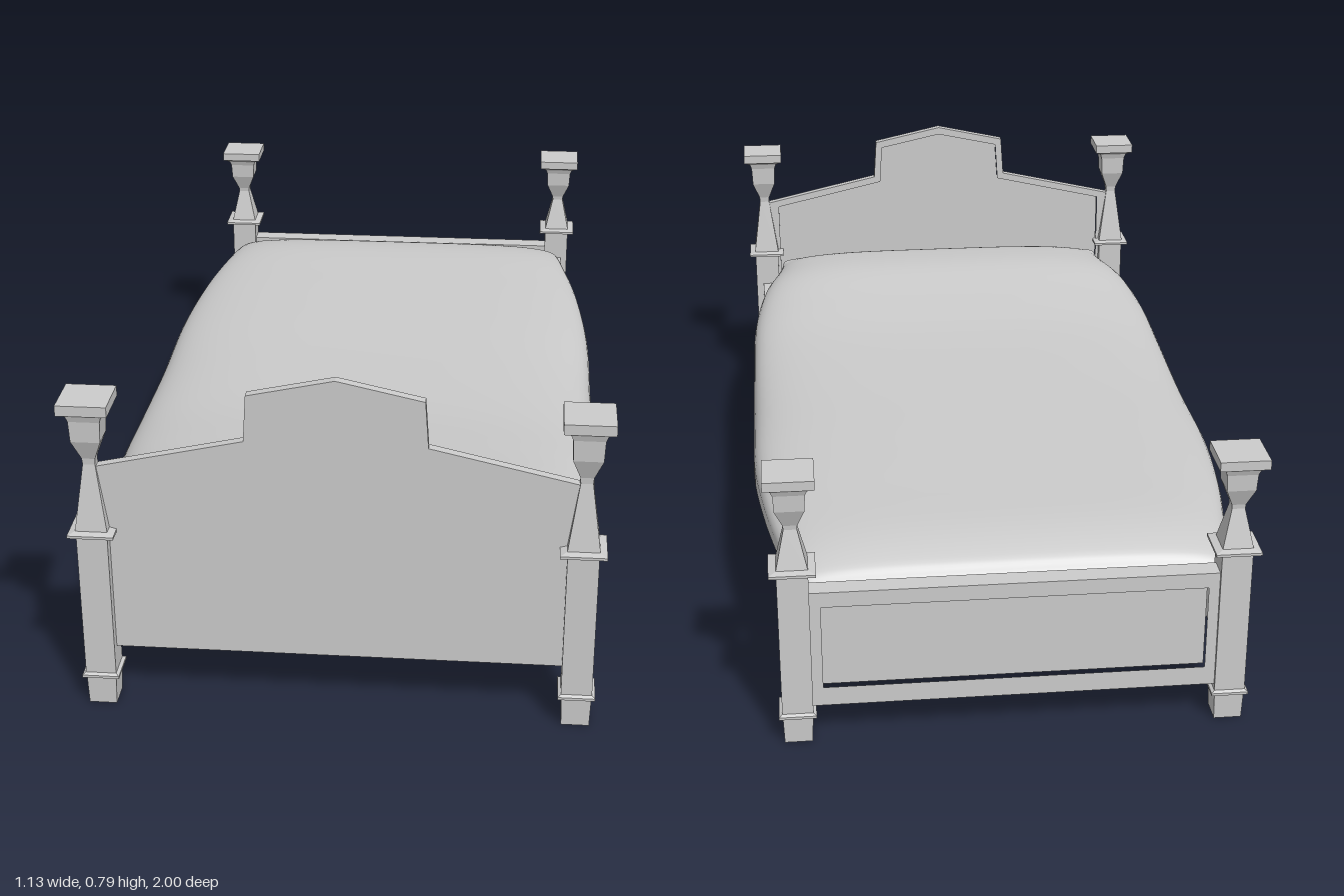
import * as THREE from 'three';

const grey = new THREE.MeshStandardMaterial({ color: 0xcccccc });
const faceted = new THREE.MeshStandardMaterial({ color: 0xcccccc, flatShading: true });
const cloth = new THREE.MeshStandardMaterial({ color: 0xcccccc, side: THREE.DoubleSide });

function add(parent, name, geometry, material = grey) {
  const mesh = new THREE.Mesh(geometry, material);
  mesh.name = name;
  parent.add(mesh);
  return mesh;
}

// Square turned post from [half width, height] pairs
function post(profile) {
  const points = profile.map(([h, y]) => new THREE.Vector2(h * Math.SQRT2, y));
  const g = new THREE.LatheGeometry(points, 4).rotateY(Math.PI / 4).toNonIndexed();
  g.computeVertexNormals();
  return g;
}

// Mirrored outline from its right half, listed top to bottom
function outline(half, Type = THREE.Shape) {
  const right = half.map(([x, y]) => new THREE.Vector2(x, y));
  const left = right.filter(p => p.x > 0).map(p => new THREE.Vector2(-p.x, p.y)).reverse();
  return new Type([...right, ...left]);
}

function slab(shape, z0, z1) {
  return new THREE.ExtrudeGeometry(shape, { depth: z1 - z0, bevelEnabled: false }).translate(0, 0, z0);
}

// Board with a raised border round a thinner panel
function framedBoard(name, outer, inner, frameZ, panelZ) {
  const group = new THREE.Group();
  group.name = name;
  const frame = outline(outer);
  frame.holes.push(outline(inner, THREE.Path));
  add(group, name + 'Frame', slab(frame, ...frameZ));
  add(group, name + 'Panel', slab(outline(inner), ...panelZ));
  return group;
}

// Draped cover lofted through arched cross-sections along z
function coverGeometry() {
  // z, half width, crown height, hem height
  const rows = [
    [-0.915, 0.455, 0.345, 0.325], [-0.88, 0.47, 0.378, 0.325], [-0.77, 0.49, 0.4, 0.322],
    [-0.56, 0.525, 0.402, 0.315], [-0.3, 0.55, 0.402, 0.292], [0, 0.553, 0.402, 0.272],
    [0.3, 0.553, 0.408, 0.29], [0.52, 0.55, 0.428, 0.298], [0.7, 0.528, 0.449, 0.306],
    [0.83, 0.492, 0.443, 0.322], [0.89, 0.475, 0.43, 0.345], [0.914, 0.465, 0.412, 0.385],
  ];
  const spline = (c) => new THREE.CatmullRomCurve3(
    rows.map(r => new THREE.Vector3(r[0], r[c], r[c + 1])), false, 'catmullrom', 0.5);
  const crown = spline(1), hem = spline(2);
  const nu = 32, nv = 66;
  const g = new THREE.PlaneGeometry(1, 1, nu, nv);
  const pos = g.attributes.position;
  for (let j = 0; j <= nv; j++) {
    const a = crown.getPoint(j / nv), b = hem.getPoint(j / nv);
    for (let i = 0; i <= nu; i++) {
      const t = (i / nu - 0.5) * Math.PI;
      const s = Math.sin(t), c = Math.max(0, Math.cos(t));
      const x = Math.sign(s) * Math.sqrt(Math.abs(s)) * a.y;
      pos.setXYZ(j * (nu + 1) + i, x, b.z + (a.z - b.z) * Math.sqrt(c), a.x);
    }
  }
  g.computeVertexNormals();
  return g;
}

export function createModel() {
  const bed = new THREE.Group();
  bed.name = 'bed';

  // Posts: foot block, square shaft, collar, pinched neck, flared cap
  const base = (y) => [[0, 0], [0.03, 0], [0.032, y - 0.007], [0.04, y - 0.003], [0.04, y + 0.003], [0.033, y + 0.007]];
  const headPost = post([...base(0.072), [0.033, 0.415], [0.049, 0.42], [0.049, 0.426], [0.034, 0.43],
    [0.013, 0.578], [0.014, 0.592], [0.031, 0.638], [0.033, 0.685], [0.037, 0.698], [0.048, 0.706],
    [0.053, 0.707], [0.053, 0.73], [0, 0.73]]);
  const footPost = post([...base(0.066), [0.033, 0.405], [0.049, 0.41], [0.049, 0.416], [0.033, 0.42],
    [0.014, 0.505], [0.015, 0.515], [0.031, 0.555], [0.033, 0.592], [0.037, 0.603], [0.048, 0.611],
    [0.053, 0.612], [0.053, 0.633], [0, 0.633]]);
  for (const side of [1, -1]) {
    const label = side > 0 ? 'left' : 'right';
    add(bed, label + 'HeadPost', headPost, faceted).position.set(side * 0.513, 0, 0.947);
    add(bed, label + 'FootPost', footPost, faceted).position.set(side * 0.466, 0, -0.947);

    // Side rails run slightly inward towards the foot
    const rail = add(bed, label + 'SideRail', new THREE.BoxGeometry(0.03, 0.19, 1.87));
    rail.position.set(side * 0.489, 0.235, 0);
    rail.rotation.y = side * Math.atan2(0.047, 1.894);
  }

  // Stepped headboard, flat outside and recessed inside
  bed.add(framedBoard('headboard',
    [[0, 0.787], [0.183, 0.747], [0.19, 0.643], [0.5, 0.573], [0.5, 0.135]],
    [[0, 0.767], [0.166, 0.731], [0.173, 0.628], [0.472, 0.56], [0.472, 0.175]],
    [0.936, 0.957], [0.945, 0.957]));

  // Low footboard, recessed on both faces
  bed.add(framedBoard('footboard',
    [[0.45, 0.36], [0.45, 0.086]],
    [[0.41, 0.325], [0.41, 0.13]],
    [-0.973, -0.927], [-0.958, -0.942]));

  add(bed, 'cover', coverGeometry(), cloth);
  return bed;
}
